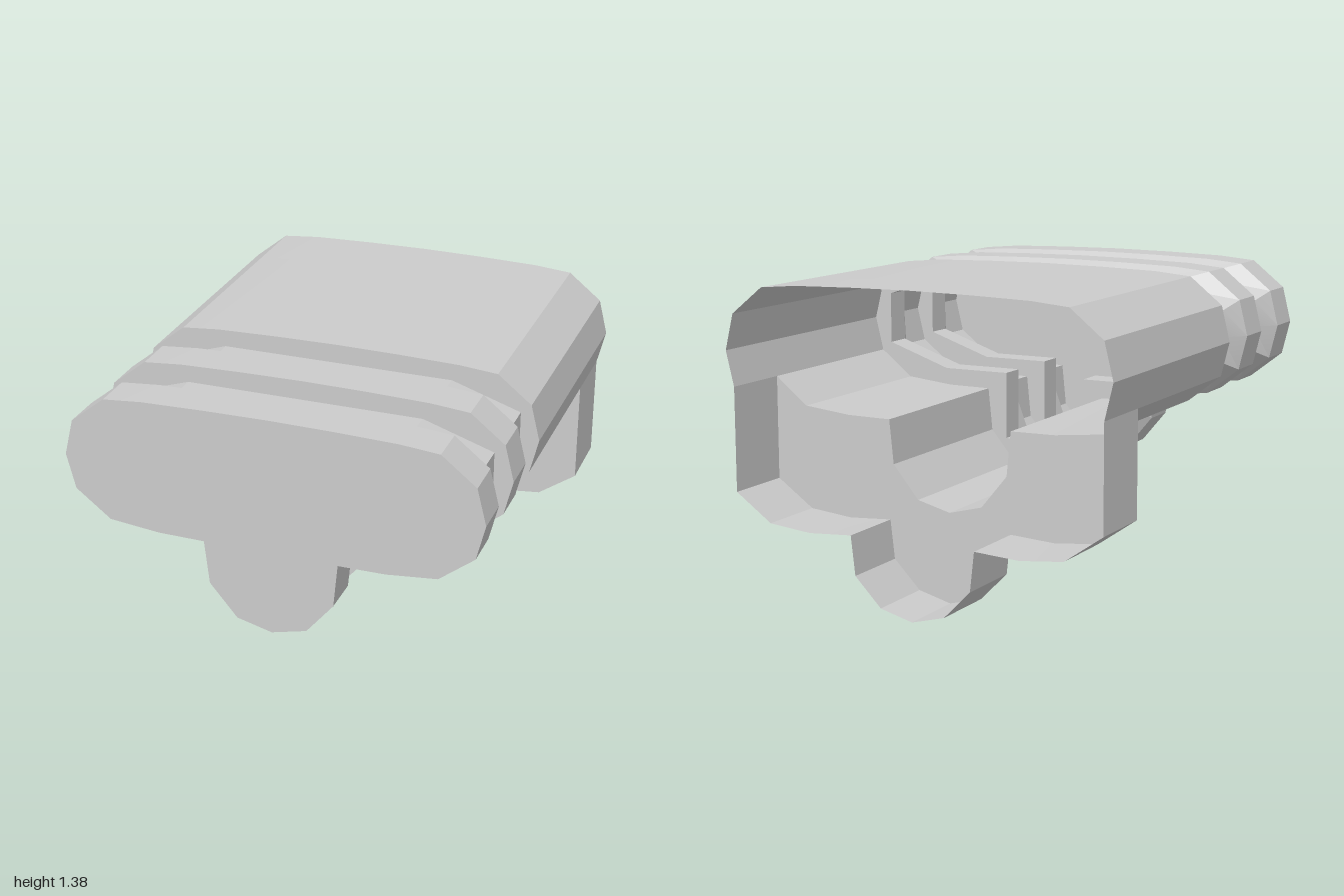
import * as THREE from 'three';
import { toCreasedNormals } from 'three/addons/utils/BufferGeometryUtils.js';

const material = new THREE.MeshStandardMaterial({ color: 0xcccccc, side: THREE.DoubleSide });

// Half outlines (+x side), running from the top centre down to the keel
const upper = [[0, 1.385], [0.28, 1.382], [0.55, 1.375], [0.72, 1.36], [0.87, 1.24], [0.91, 1.08], [0.872, 0.925]];
const lower = [[0.872, 0.925], [0.72, 0.805], [0.5, 0.782], [0.295, 0.78], [0.275, 0.585], [0.155, 0.44], [0, 0.4]];
const full = [...upper, ...lower.slice(1)];
const groove = [[0, 1.3], [0.2, 1.3], [0.4, 1.3], [0.52, 1.3], [0.825, 1.2], [0.825, 1.08], [0.825, 0.965],
  [0.52, 0.86], [0.36, 0.86], [0.2, 0.86], [0.2, 0.7], [0.2, 0.55], [0, 0.55]];
const lip = [[0.872, 0.925], [0.872, 0.465], [0.7, 0.345], [0.5, 0.325], [0.295, 0.338],
  [0.275, 0.165], [0.152, 0.04], [0, 0]];

// Skin a half outline through [outline, z] sections from front to back, on both sides
function loft(name, sections) {
  const pos = [];
  for (let s = 0; s < sections.length - 1; s++) {
    const [a, za] = sections[s], [b, zb] = sections[s + 1];
    for (const m of [1, -1]) {
      for (let i = 0; i < a.length - 1; i++) {
        const f0 = [m * a[i][0], a[i][1], za], f1 = [m * a[i + 1][0], a[i + 1][1], za];
        const b0 = [m * b[i][0], b[i][1], zb], b1 = [m * b[i + 1][0], b[i + 1][1], zb];
        const quad = m > 0 ? [f0, f1, b0, f1, b1, b0] : [f0, b0, f1, f1, b0, b1];
        pos.push(...quad.flat());
      }
    }
  }
  const geo = new THREE.BufferGeometry();
  geo.setAttribute('position', new THREE.Float32BufferAttribute(pos, 3));
  geo.computeVertexNormals();
  return named(name, toCreasedNormals(geo, 0.3));
}

function named(name, geo) {
  const mesh = new THREE.Mesh(geo, material);
  mesh.name = name;
  return mesh;
}

// Flat plate facing +z at depth z
function plate(name, points, z) {
  const shape = new THREE.Shape(points.map(([x, y]) => new THREE.Vector2(x, y)));
  return named(name, new THREE.ShapeGeometry(shape).translate(0, 0, z));
}

const mirror = (half) => half.map(([x, y]) => [-x, y]).reverse();

export function createModel() {
  const group = new THREE.Group();
  group.name = 'hollowConnector';

  // Ribbed front and main sleeve, with two chamfered grooves
  group.add(loft('sleeve', [
    [full, 1], [full, 0.825],
    [groove, 0.735], [groove, 0.61],
    [full, 0.61], [full, 0.43],
    [groove, 0.34], [groove, 0.215],
    [full, 0.215], [full, -0.68],
  ]));
  group.add(plate('frontCap', [...full, ...mirror(full).slice(1, -1)], 1));

  // Open rear: roof above, deep lip below
  group.add(loft('rearRoof', [[upper, -0.68], [upper, -1]]));
  group.add(loft('rearLip', [[lip, -0.68], [lip, -1]]));

  // Wall joining the lip to the underside of the sleeve
  const wall = [...lip, ...mirror(lip).slice(1), ...mirror(lower).reverse().slice(1), ...lower.slice(1, -1).reverse()];
  group.add(plate('lipWall', wall, -0.68));
  return group;
}
